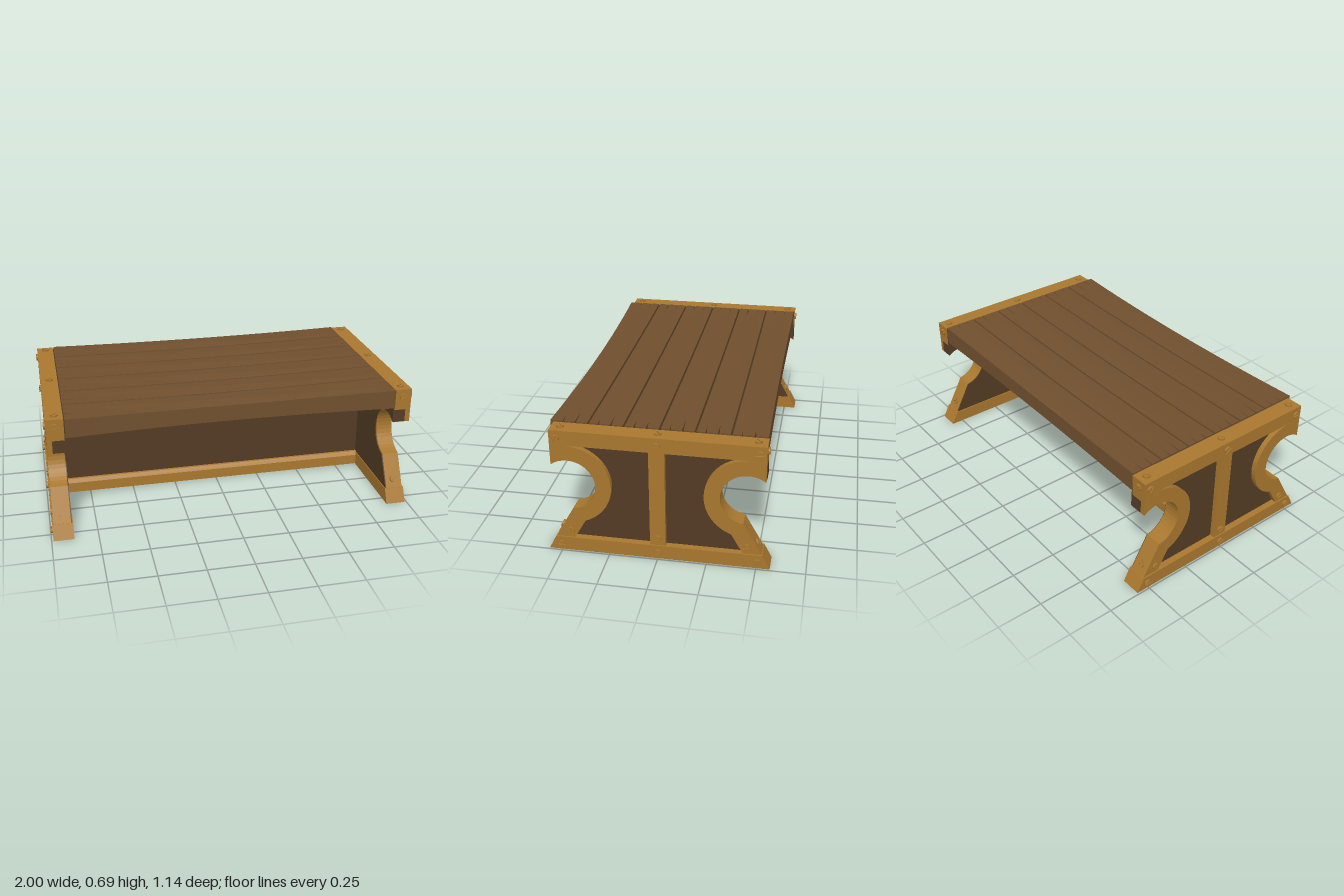
import * as THREE from 'three';

const gold = new THREE.MeshStandardMaterial({ color: 0xa9782f });
const plankWood = new THREE.MeshStandardMaterial({ color: 0x70502f });
const panelWood = new THREE.MeshStandardMaterial({ color: 0x533b24 });
const rad = THREE.MathUtils.degToRad;
const V = (x, y) => new THREE.Vector2(x, y);

function add(parent, name, geometry, material) {
  const mesh = new THREE.Mesh(geometry, material);
  mesh.name = name;
  parent.add(mesh);
  return mesh;
}

// Points on the round cut-out, which is centred at z 0.45, y 0.385
function arc(r, fromDeg, toDeg, n = 22) {
  return Array.from({ length: n + 1 }, (_, i) => {
    const a = rad(fromDeg + (toDeg - fromDeg) * i / n);
    return V(0.45 + r * Math.cos(a), 0.385 + r * Math.sin(a));
  });
}

const mirrored = pts => pts.map(p => V(-p.x, p.y)).reverse();

// Outline of an end: splayed legs, round cut-outs and square top corners
function endOutline(inset = 0) {
  const half = [V(0.53 - inset, 0.07), ...arc(0.138 + inset, 261.6, 52.3),
    V(0.535 - inset, 0.685 - inset)];
  return new THREE.Shape([...half, ...mirrored(half)]);
}

// Extrude an outline drawn in z and y along x, from x0 to x1
function extrudeX(shape, x0, x1) {
  const g = new THREE.ExtrudeGeometry(shape, { depth: x1 - x0, bevelEnabled: false });
  return g.translate(0, 0, x0).rotateY(Math.PI / 2);
}

// Slotted screw head: a thin disc with two half-discs on it, facing +z
function screw(parent, x, y, z, normal, turn = 0) {
  const head = new THREE.Group();
  head.name = 'screw';
  add(head, 'screwBase', new THREE.CylinderGeometry(0.019, 0.019, 0.006, 16).rotateX(Math.PI / 2), gold);
  for (const a of [0, Math.PI]) {
    const half = new THREE.Shape();
    half.absarc(0, 0, 0.019, rad(10), rad(170), false);
    const g = new THREE.ExtrudeGeometry(half, { depth: 0.01, bevelEnabled: false, curveSegments: 8 });
    add(head, 'screwHalf', g.rotateZ(a + turn), gold);
  }
  head.position.set(x, y, z);
  head.quaternion.setFromUnitVectors(new THREE.Vector3(0, 0, 1), new THREE.Vector3(...normal).normalize());
  parent.add(head);
}

function createEnd() {
  const end = new THREE.Group();
  end.name = 'endSupport';

  // Frame with two openings beside the middle strap
  const frame = endOutline();
  const opening = [V(0.04, 0.07), V(0.435, 0.07), ...arc(0.218, 249, 95), V(0.455, 0.605), V(0.04, 0.605)];
  frame.holes.push(new THREE.Path(opening), new THREE.Path(mirrored(opening)));
  add(end, 'endFrame', extrudeX(frame, 0.89, 0.983), gold);
  add(end, 'endPanel', extrudeX(endOutline(0.004), 0.885, 0.955), panelWood);

  // Foot with slanted ends
  const foot = new THREE.Shape([V(-0.57, 0), V(0.57, 0), V(0.53, 0.076), V(-0.53, 0.076)]);
  add(end, 'foot', extrudeX(foot, 0.88, 0.99), gold);

  // Screws on the outer face
  const side = [1, 0, 0];
  for (const z of [-0.5, 0, 0.5]) {
    screw(end, 0.983, 0.643, z, side, 0.6 + z);
    screw(end, 0.99, 0.035, z * 1.01, side, 0.5 - z);
    screw(end, 0.983, 0.115, z * 0.9, side, 0.8 + z);
  }
  // Screws on the top, the corners and the slanted legs
  for (const z of [-0.487, 0, 0.487]) screw(end, 0.935, 0.685, z, [0, 1, 0], 0.7);
  for (const s of [-1, 1]) {
    screw(end, 0.935, 0.643, s * 0.535, [0, 0, s], 0.7);
    screw(end, 0.935, 0.122, s * 0.502, [0, 0.5, s * 0.87], 0.7);
  }
  return end;
}

// Plank between z0 and z1, thinner in the middle, with optional splits in its ends
function plankGeometry(z0, z1, y0, y1, cracks, bow0, bow1) {
  const L = 0.885, n = 12, pts = [];
  const xs = Array.from({ length: n + 1 }, (_, i) => -L + 2 * L * i / n);
  const edge = (z, bow) => x => V(x, z + bow * (x / L) ** 2);
  const near = edge(z0, bow0), far = edge(z1, bow1);
  const split = (s, t, len, w) => {
    const z = z0 + (z1 - z0) * t;
    return [V(s * L, z - s * w), V(s * (L - len), z + 0.004), V(s * L, z + s * w)];
  };
  pts.push(...xs.map(near));
  if (cracks) pts.push(...split(1, 0.35, cracks[0], 0.004), ...split(1, 0.72, cracks[1], 0.003));
  pts.push(...xs.map(far).reverse());
  if (cracks) pts.push(...split(-1, 0.66, cracks[2], 0.004), ...split(-1, 0.3, cracks[3], 0.003));
  // The outline is drawn with z pointing up, then turned flat
  const shape = new THREE.Shape(pts.map(p => V(p.x, -p.y)));
  const g = new THREE.ExtrudeGeometry(shape, { depth: y1 - y0, bevelEnabled: false });
  g.rotateX(-Math.PI / 2).translate(0, y0, 0);
  const p = g.attributes.position;
  for (let i = 0; i < p.count; i++) {
    const t = (p.getX(i) / L) ** 2;
    p.setY(i, 0.638 + (p.getY(i) - 0.638) * (0.84 + 0.16 * t));
  }
  g.computeVertexNormals();
  return g;
}

function createTop() {
  const top = new THREE.Group();
  top.name = 'plankTop';
  const seams = [-0.525, -0.352, -0.176, 0, 0.18, 0.36, 0.535];
  const gap = 0.005;
  for (let i = 0; i < 6; i++) {
    const first = i === 0, last = i === 5;
    const z0 = seams[i] + (first ? 0 : gap), z1 = seams[i + 1] - (last ? 0 : gap);
    const bow0 = first ? -0.006 : 0, bow1 = last ? 0.018 : 0;
    const cracks = [0.06 + 0.03 * (i % 3), 0.05 + 0.02 * (i % 2), 0.05 + 0.035 * ((i + 1) % 3), 0.07];
    add(top, 'plank', plankGeometry(z0, z1, 0.655, 0.69, cracks, bow0, bow1), plankWood);
    add(top, 'plankUnderside', plankGeometry(z0, z1, 0.586, 0.655, null, bow0, bow1), plankWood);
  }
  // Thin core that closes the seams
  add(top, 'plankCore', new THREE.BoxGeometry(1.76, 0.03, 1.03).translate(0, 0.64, 0), panelWood);
  return top;
}

export function createModel() {
  const bench = new THREE.Group();
  bench.name = 'bench';
  bench.add(createTop());

  // Two matching ends
  for (const a of [0, Math.PI]) {
    const end = createEnd();
    end.rotation.y = a;
    bench.add(end);
  }

  // Lengthwise wall and its bottom rail
  add(bench, 'middleWall', new THREE.BoxGeometry(1.78, 0.55, 0.06).translate(0, 0.335, 0), panelWood);
  const rail = new THREE.Shape([V(-0.06, 0.002), V(0.06, 0.002), V(0.06, 0.06), V(0.045, 0.08), V(-0.045, 0.08), V(-0.06, 0.06)]);
  add(bench, 'bottomRail', extrudeX(rail, -0.885, 0.885), gold);
  return bench;
}
